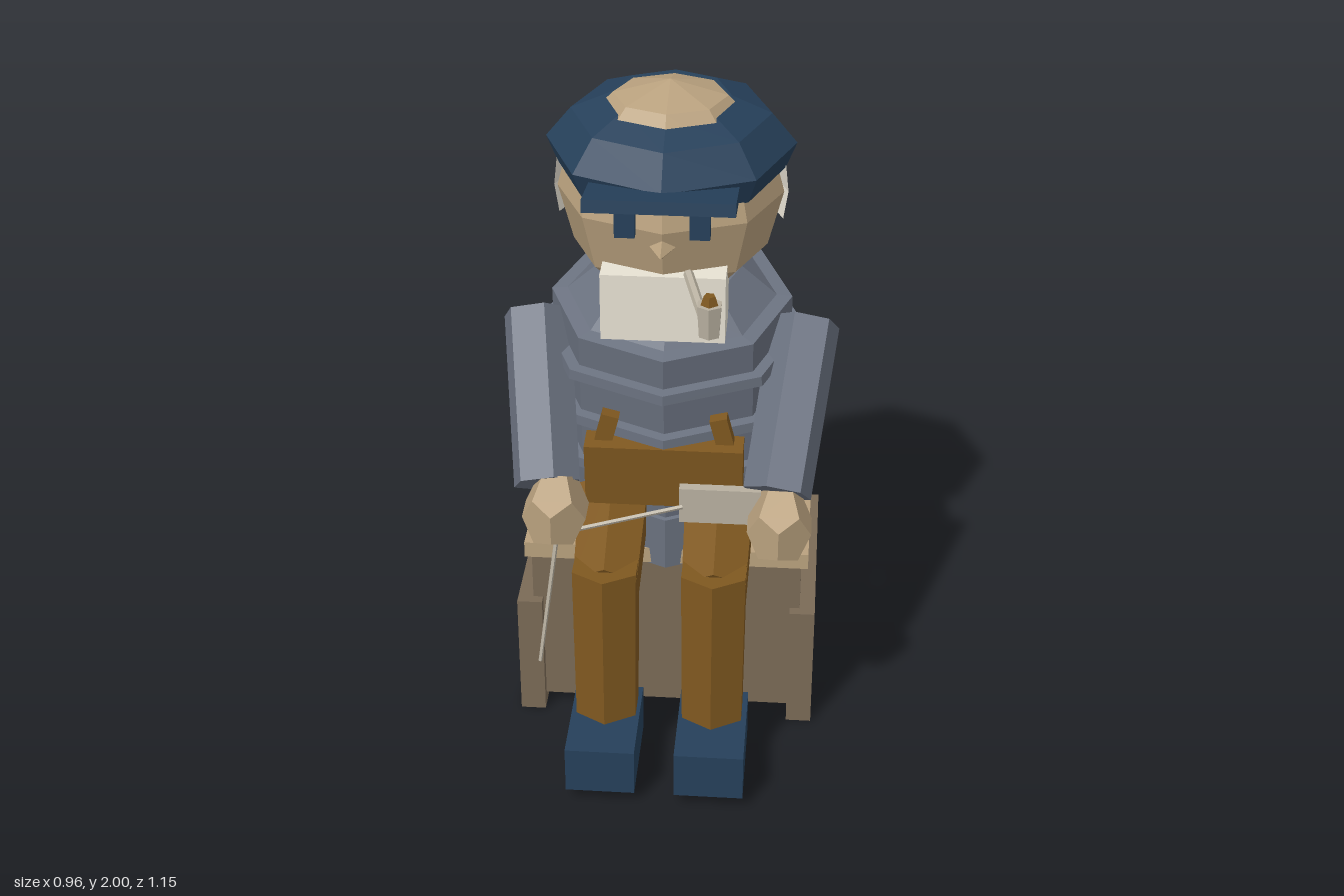
import * as THREE from 'three';

const mat = (name, color, opts = {}) => {
  const m = new THREE.MeshStandardMaterial({ color, flatShading: true, ...opts });
  m.name = name;
  return m;
};

export function createModel() {
  const model = new THREE.Group();
  const skin = mat('skin', 0xb9a17e);
  const wool = mat('greyWool', 0x6b7280);
  const navy = mat('navy', 0x26405a);
  const brown = mat('brownCloth', 0x7f5820);
  const darkWood = mat('darkWood', 0x7a6a56);
  const cream = mat('creamHair', 0xe8e2d4, { side: THREE.DoubleSide });
  const paleWood = mat('paleWood', 0xb8b0a0);

  const add = (name, geo, material, pos = [0, 0, 0], parent = model) => {
    const m = new THREE.Mesh(geo, material);
    m.name = name;
    m.position.set(...pos);
    parent.add(m);
    return m;
  };
  const box = (name, size, pos, material, parent) =>
    add(name, new THREE.BoxGeometry(...size), material, pos, parent);
  // Prism running from point a to point b
  const limb = (name, a, b, r0, r1, sides, material) => {
    const p = new THREE.Vector3(...a), q = new THREE.Vector3(...b);
    const dir = q.clone().sub(p);
    const m = add(name, new THREE.CylinderGeometry(r1, r0, dir.length(), sides), material);
    m.position.copy(p).add(q).multiplyScalar(0.5);
    m.quaternion.setFromUnitVectors(new THREE.Vector3(0, 1, 0), dir.normalize());
    return m;
  };
  const lathe = (pts) =>
    new THREE.LatheGeometry(pts.map(([x, y]) => new THREE.Vector2(x, y)), 8);

  // Bench
  box('benchBody', [0.8, 0.51, 0.6], [0, 0.295, -0.18], darkWood);
  box('benchSeat', [0.84, 0.05, 0.62], [0, 0.575, -0.18], skin);

  // Torso leaning forward, with knitted ridges
  const torso = new THREE.Group();
  torso.name = 'torso';
  torso.position.set(0, 0.6, -0.215);
  torso.rotation.x = 0.155;
  torso.scale.z = 0.95;
  model.add(torso);
  add('sweater', lathe([[0, 0], [0.385, 0], [0.365, 0.17], [0.35, 0.17], [0.345, 0.74],
    [0.3, 0.745], [0.2, 0.84], [0, 0.85]]), wool, [0, 0, 0], torso);
  for (const h of [0.31, 0.47, 0.63]) {
    add('sweaterRidge', new THREE.CylinderGeometry(0.38, 0.385, 0.03, 8), wool, [0, h, 0], torso);
  }

  // Trouser bib
  box('trouserBib', [0.45, 0.2, 0.08], [0, 0.9, 0.17], brown).rotation.x = 0.1;

  // Paired parts
  for (const s of [-1, 1]) {
    box('benchSidePanel', [0.075, 0.4, 0.66], [s * 0.408, 0.2, -0.18], darkWood);
    box('brace', [0.05, 0.12, 0.04], [s * 0.167, 1.02, 0.165], brown).rotation.z = s * 0.25;

    // Legs
    limb('thigh', [s * 0.155, 0.74, 0.06], [s * 0.155, 0.6, 0.34], 0.115, 0.105, 6, brown);
    limb('shin', [s * 0.155, 0.15, 0.345], [s * 0.155, 0.68, 0.335], 0.1, 0.105, 6, brown);
    box('shoe', [0.2, 0.145, 0.31], [s * 0.157, 0.113, 0.415], navy);

    // Arms
    const hx = s < 0 ? -0.295 : 0.335;
    const hy = s < 0 ? 0.85 : 0.83;
    limb('arm', [s * 0.385, 1.27, -0.065], [s * 0.325, 0.9, 0.27], 0.1, 0.098, 6, wool);
    add('hand', new THREE.DodecahedronGeometry(0.12), skin, [hx, hy, 0.325]).scale.x = 0.8;

    // Eyes and brows
    box('eye', [0.055, 0.095, 0.04], [s * 0.1, 1.712, 0.225], navy);
    box('brow', [0.09, 0.02, 0.06], [s * 0.1, 1.756, 0.235], cream);
  }

  // Head
  const head = add('head', new THREE.SphereGeometry(0.32, 8, 6), skin, [0, 1.68, -0.05]);
  head.scale.set(0.98, 1, 0.93);
  const nose = add('nose', new THREE.ConeGeometry(0.045, 0.1, 4), skin, [0, 1.632, 0.25]);
  nose.rotation.x = Math.PI / 2;
  box('beard', [0.34, 0.195, 0.17], [0, 1.448, 0.145], cream);
  // Fringe of hair round the back of the head
  const hair = add('hair', new THREE.SphereGeometry(0.325, 4, 2, Math.PI, Math.PI, 1.33, 0.52),
    cream, [0, 1.68, -0.065]);
  hair.rotation.y = Math.PI;
  // The sphere sweep starts at +x or -x, so check which half it covers and face it backward
  hair.geometry.computeBoundingBox();
  if (hair.geometry.boundingBox.min.z < -0.1) hair.rotation.y = 0;

  // Cap
  const cap = add('cap', lathe([[0, 1.75], [0.315, 1.74], [0.345, 1.815], [0.275, 1.9],
    [0.165, 1.948], [0, 1.948]]), navy, [0, 0, -0.075]);
  cap.geometry.translate(0, -1.84, 0);
  cap.position.y = 1.84;
  cap.rotation.x = 0.03;
  box('capBrim', [0.4, 0.035, 0.25], [0, 1.785, 0.235], navy).rotation.x = -0.17;

  // Pipe
  limb('pipeStem', [0.07, 1.565, 0.24], [0.135, 1.51, 0.45], 0.014, 0.014, 6, paleWood);
  add('pipeBowl', new THREE.CylinderGeometry(0.036, 0.03, 0.09, 6), paleWood, [0.14, 1.543, 0.457]);
  add('tobacco', new THREE.CylinderGeometry(0.016, 0.026, 0.03, 5), brown, [0.14, 1.598, 0.457]);

  // Handwork: netting board, needle and hanging cord
  box('nettingBoard', [0.23, 0.11, 0.03], [0.165, 0.855, 0.27], paleWood);
  limb('needle', [-0.25, 0.805, 0.36], [0.06, 0.855, 0.29], 0.007, 0.007, 5, paleWood);
  limb('cord', [-0.29, 0.78, 0.36], [-0.34, 0.39, 0.42], 0.007, 0.006, 5, paleWood);

  return model;
}
